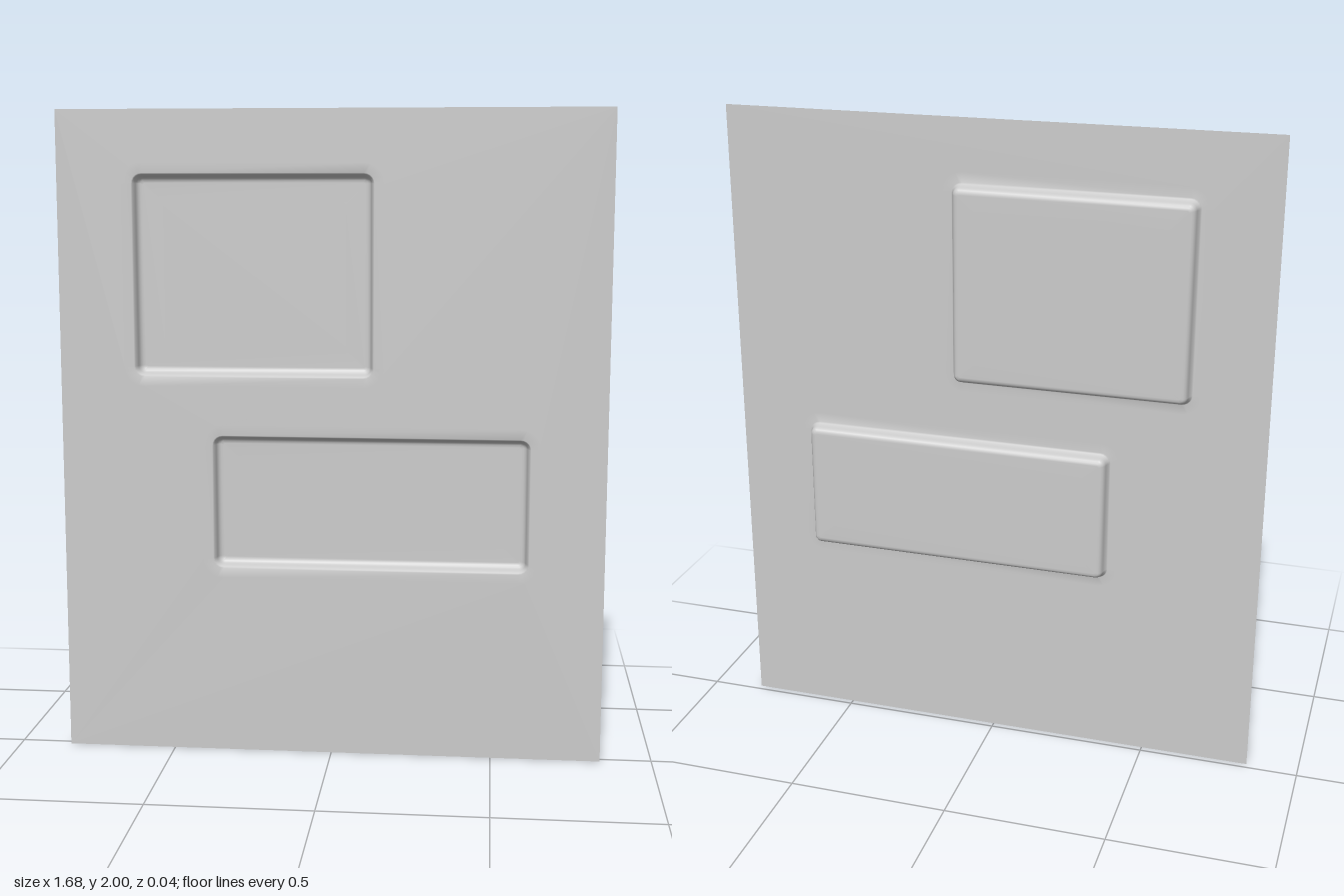
import * as THREE from 'three';

const FRONT = 0.019;
// Steps across a recess from flat rim to floor: [outward offset, z]
const PROFILE = [
  [0.04, FRONT], [0.01, FRONT], [0.006, 0.015], [0.002, 0.007], [0, -0.001],
  [-0.002, -0.009], [-0.006, -0.015], [-0.012, -0.019], [-0.02, -0.02], [-0.08, -0.02],
];
const RECESSES = [
  { name: 'upperRecess', x0: -0.6, x1: 0.12, y0: 1.2, y1: 1.8 },
  { name: 'lowerRecess', x0: -0.36, x1: 0.6, y0: 0.6, y1: 1.0 },
];

// Counter-clockwise rounded rectangle, grown by an offset
function roundedLoop({ x0, x1, y0, y1 }, offset, steps = 5) {
  const r = Math.max(0.006, 0.022 + offset);
  const corners = [
    [x1 + offset - r, y1 + offset - r], [x0 - offset + r, y1 + offset - r],
    [x0 - offset + r, y0 - offset + r], [x1 + offset - r, y0 - offset + r],
  ];
  const points = [];
  corners.forEach(([cx, cy], k) => {
    for (let i = 0; i <= steps; i++) {
      const a = (k + i / steps) * Math.PI / 2;
      points.push(new THREE.Vector2(cx + r * Math.cos(a), cy + r * Math.sin(a)));
    }
  });
  return points;
}

// Walls and floor of one recess, lofted through its profile loops
function recessGeometry(rect) {
  const positions = [], index = [];
  let n = 0;
  PROFILE.forEach(([offset, z], ring) => {
    const loop = roundedLoop(rect, offset);
    n = loop.length;
    loop.forEach((p) => positions.push(p.x, p.y, z));
    if (ring === 0) return;
    for (let i = 0; i < n; i++) {
      const j = (i + 1) % n, a = (ring - 1) * n, b = ring * n;
      index.push(a + i, a + j, b + j, a + i, b + j, b + i);
    }
  });
  const last = (PROFILE.length - 1) * n, centre = PROFILE.length * n;
  positions.push((rect.x0 + rect.x1) / 2, (rect.y0 + rect.y1) / 2, -0.02);
  for (let i = 0; i < n; i++) index.push(last + i, last + (i + 1) % n, centre);
  const geometry = new THREE.BufferGeometry();
  geometry.setAttribute('position', new THREE.Float32BufferAttribute(positions, 3));
  geometry.setIndex(index);
  geometry.computeVertexNormals();
  return geometry;
}

export function createModel() {
  const group = new THREE.Group();
  group.name = 'recessedPanel';
  const material = new THREE.MeshStandardMaterial({ color: 0xcccccc, side: THREE.DoubleSide });

  // Flat sheet with an opening for each recess
  const outline = new THREE.Shape([
    new THREE.Vector2(-0.84, 0), new THREE.Vector2(0.84, 0),
    new THREE.Vector2(0.84, 2), new THREE.Vector2(-0.84, 2),
  ]);
  for (const rect of RECESSES) {
    outline.holes.push(new THREE.Path(roundedLoop(rect, PROFILE[0][0]).reverse()));
  }
  const sheet = new THREE.Mesh(new THREE.ShapeGeometry(outline), material);
  sheet.name = 'sheet';
  sheet.position.z = FRONT;
  group.add(sheet);

  // Shallow trays pressed into the sheet
  for (const rect of RECESSES) {
    const tray = new THREE.Mesh(recessGeometry(rect), material);
    tray.name = rect.name;
    group.add(tray);
  }
  return group;
}
